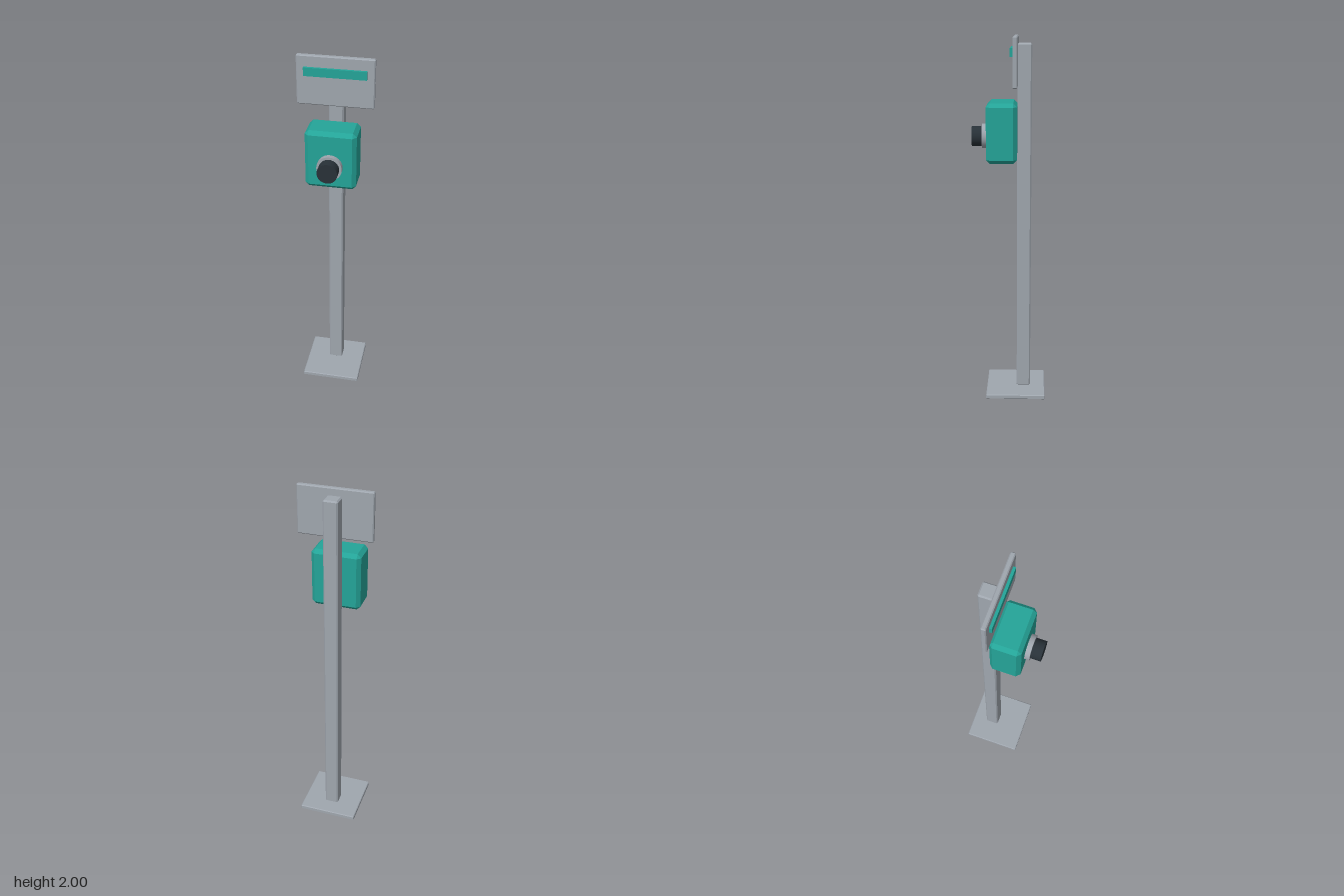
import * as THREE from 'three';
import { ConvexGeometry } from 'three/addons/geometries/ConvexGeometry.js';

const material = (name, color) => {
  const m = new THREE.MeshStandardMaterial({ color });
  m.name = name;
  return m;
};

// Box between two corners, with every edge cut by a flat bevel
function bevelBox([x0, y0, z0], [x1, y1, z1], bevel) {
  const half = [(x1 - x0) / 2, (y1 - y0) / 2, (z1 - z0) / 2];
  const points = [];
  for (const sx of [-1, 1]) for (const sy of [-1, 1]) for (const sz of [-1, 1]) {
    for (let full = 0; full < 3; full++) {
      const [hx, hy, hz] = half.map((h, axis) => (axis === full ? h : h - bevel));
      points.push(new THREE.Vector3(sx * hx, sy * hy, sz * hz));
    }
  }
  return new ConvexGeometry(points).translate((x0 + x1) / 2, (y0 + y1) / 2, (z0 + z1) / 2);
}

// Cylinder pointing forward between two depths
function frontCylinder(radius, z0, z1, y) {
  return new THREE.CylinderGeometry(radius, radius, z1 - z0, 32)
    .rotateX(Math.PI / 2)
    .translate(0, y, (z0 + z1) / 2);
}

export function createModel() {
  const grey = material('grey metal', 0x9fa6ae);
  const teal = material('teal paint', 0x24a498);
  const dark = material('dark rubber', 0x283138);

  const group = new THREE.Group();
  group.name = 'buttonPost';
  const add = (name, geometry, mat) => {
    const mesh = new THREE.Mesh(geometry, mat);
    mesh.name = name;
    group.add(mesh);
  };

  // Stand
  add('basePlate', bevelBox([-0.166, 0, -0.203], [0.166, 0.026, 0.128], 0.004), grey);
  add('post', bevelBox([-0.039, 0.026, -0.119], [0.039, 1.962, -0.042], 0.007), grey);

  // Sign board with its raised stripe
  add('signBoard', bevelBox([-0.199, 1.74, -0.045], [0.199, 2, -0.019], 0.005), grey);
  add('signStripe', new THREE.BoxGeometry(0.32, 0.044, 0.014).translate(0, 1.919, -0.012), teal);

  // Control box with collar and push button
  add('controlBox', bevelBox([-0.133, 1.34, -0.042], [0.133, 1.658, 0.122], 0.02), teal);
  add('buttonCollar', frontCylinder(0.066, 0.115, 0.148, 1.472), grey);
  add('pushButton', frontCylinder(0.053, 0.14, 0.203, 1.472), dark);

  return group;
}
